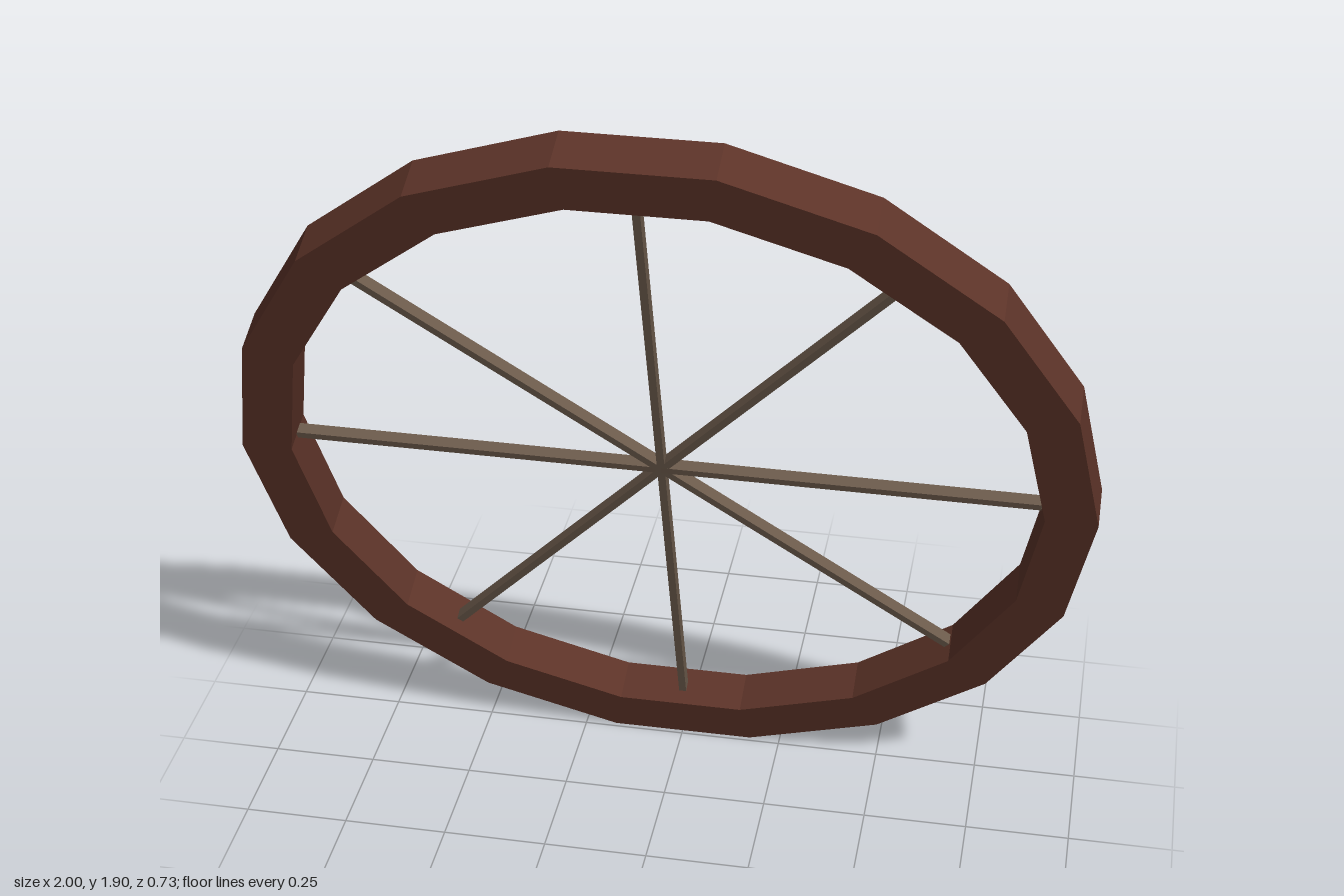
import * as THREE from 'three';

const SIDES = 18;
const TILT = THREE.MathUtils.degToRad(18.6);

// Corners of a regular polygon, starting on +x
function ring(radius) {
  return Array.from({ length: SIDES }, (_, i) => {
    const a = (i / SIDES) * Math.PI * 2;
    return new THREE.Vector2(Math.cos(a) * radius, Math.sin(a) * radius);
  });
}

export function createModel() {
  const model = new THREE.Group();
  model.name = 'wheel';
  const rimMaterial = new THREE.MeshStandardMaterial({ color: 0x5c3328, flatShading: true });
  const spokeMaterial = new THREE.MeshStandardMaterial({ color: 0x6b5a4b, flatShading: true });

  // Everything is built upright in the xy plane, then leaned forward
  const wheel = new THREE.Group();
  wheel.name = 'leaningWheel';
  wheel.position.y = 0.951;
  wheel.rotation.x = TILT;
  model.add(wheel);

  // Faceted rim with a square-edged section
  const depth = 0.11;
  const shape = new THREE.Shape(ring(1));
  shape.holes.push(new THREE.Path(ring(0.88)));
  const rimGeometry = new THREE.ExtrudeGeometry(shape, { depth, bevelEnabled: false });
  rimGeometry.translate(0, 0, -depth / 2);
  const rim = new THREE.Mesh(rimGeometry, rimMaterial);
  rim.name = 'rim';
  wheel.add(rim);

  // Four thin bars through the centre make eight slightly uneven spokes
  const spokes = new THREE.Group();
  spokes.name = 'spokes';
  spokes.position.set(-0.005, 0.003, 0);
  wheel.add(spokes);
  const bar = new THREE.BoxGeometry(1.75, 0.018, 0.03);
  [0.3, 50.2, 90.3, 140.1].forEach((degrees, i) => {
    const spoke = new THREE.Mesh(bar, spokeMaterial);
    spoke.name = `spokePair${i + 1}`;
    spoke.rotation.z = THREE.MathUtils.degToRad(degrees);
    if (i === 0) spoke.rotation.y = -0.008;
    spokes.add(spoke);
  });

  return model;
}
